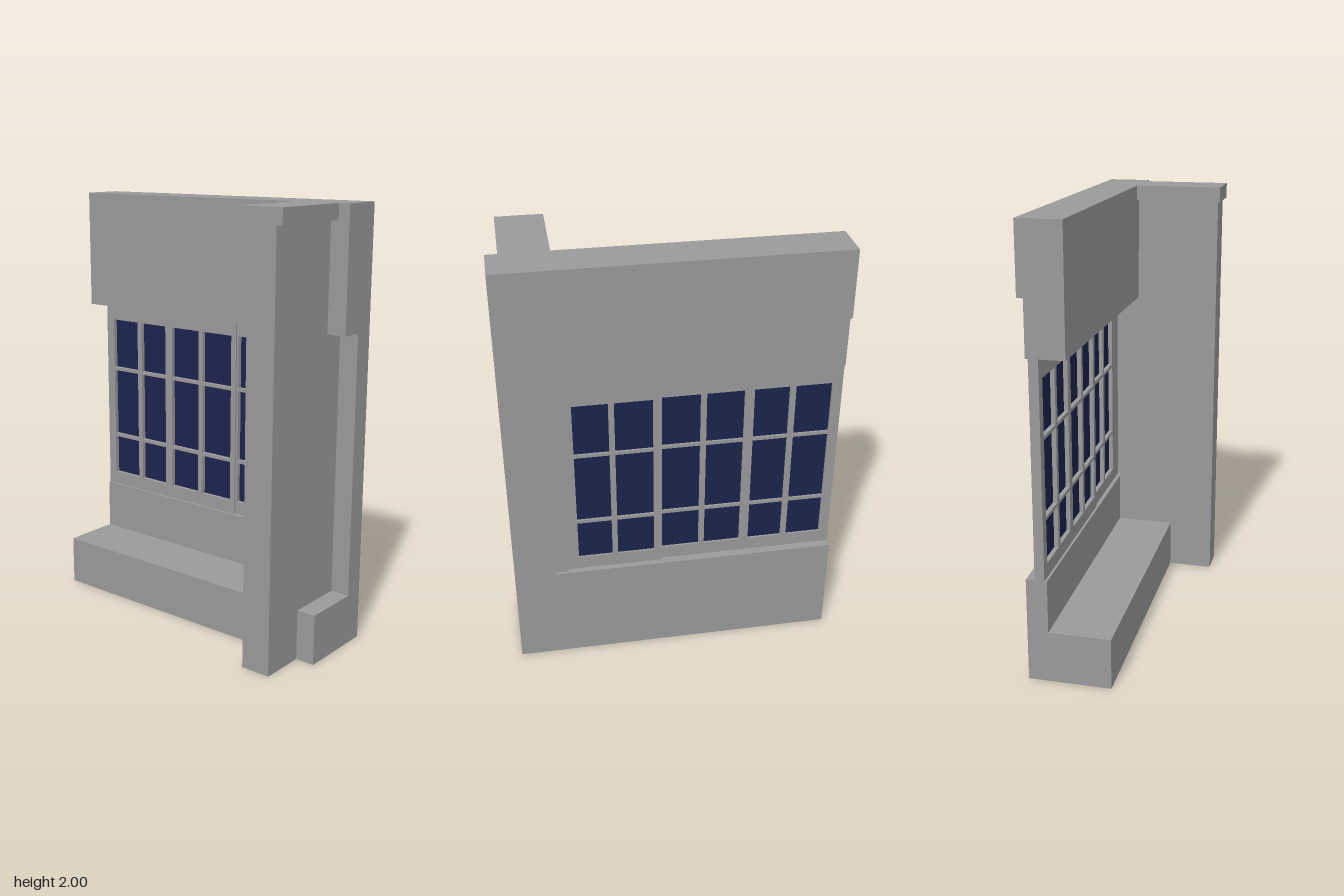
import * as THREE from 'three';

const wallMat = new THREE.MeshStandardMaterial({ color: 0x9a9a9a });
const openMat = new THREE.MeshStandardMaterial({ color: 0x9a9a9a, side: THREE.DoubleSide });
const glassMat = new THREE.MeshStandardMaterial({ color: 0x1b244e });

// Box given by its min and max on each axis
function block(name, [x0, x1], [y0, y1], [z0, z1], mat = wallMat) {
  const mesh = new THREE.Mesh(new THREE.BoxGeometry(x1 - x0, y1 - y0, z1 - z0), mat);
  mesh.position.set((x0 + x1) / 2, (y0 + y1) / 2, (z0 + z1) / 2);
  mesh.name = name;
  return mesh;
}

// Box without its top and bottom
function openBlock(name, x, y, z) {
  const mesh = block(name, x, y, z, openMat);
  const sides = [...mesh.geometry.index.array].filter((_, i) => i < 12 || i >= 24);
  mesh.geometry.setIndex(sides);
  mesh.geometry.clearGroups();
  return mesh;
}

function rectangle(target, [x0, x1], [y0, y1]) {
  target.moveTo(x0, y0);
  target.lineTo(x1, y0);
  target.lineTo(x1, y1);
  target.lineTo(x0, y1);
  target.closePath();
  return target;
}

const sill = 0.477, lintel = 1.447, openingTop = 1.69;
const rows = [[0.541, 0.737], [0.753, 1.093], [1.109, 1.358]];

// Sash frame pierced by a grid of openings, with a pane in each
function windowSash(name, xRange, columns, [z0, z1]) {
  const sash = new THREE.Group();
  sash.name = name;
  const shape = rectangle(new THREE.Shape(), xRange, [sill, lintel]);
  for (const x of columns) {
    for (const y of rows) {
      shape.holes.push(rectangle(new THREE.Path(), x, y));
      sash.add(block('windowPane', x, y, [z0 + 0.01, z1 - 0.02], glassMat));
    }
  }
  const frame = new THREE.Mesh(
    new THREE.ExtrudeGeometry(shape, { depth: z1 - z0, bevelEnabled: false }), wallMat);
  frame.position.z = z0;
  frame.name = 'sashFrame';
  sash.add(frame);
  return sash;
}

export function createModel() {
  const model = new THREE.Group();
  model.name = 'wallSection';
  const width = [-0.75, 0.75];

  // Wall around the window opening, which runs out at the right-hand end
  model.add(
    block('baseLedge', width, [0, 0.235], [-0.3, 0.072]),
    block('lowerWall', width, [0.235, sill], [-0.3, -0.206]),
    block('sideWall', [0.56, 0.75], [sill, openingTop], [-0.3, -0.206]),
    block('upperWall', width, [openingTop, 2], [-0.3, -0.104]),
    block('frontLintel', width, [lintel, openingTop], [-0.22, -0.104]),
  );

  // Shallow stop beside the sashes and the panel above them
  model.add(
    block('sideStop', [0.5, 0.56], [sill, openingTop], [-0.286, -0.225]),
    block('headPanel', [-0.75, 0.5], [lintel, openingTop], [-0.272, -0.22]),
  );

  // Projecting hollow pillar and its cap
  model.add(
    openBlock('pillar', [0.52, 0.66], [0, 1.93], [-0.206, 0.287]),
    block('pillarCap', [0.485, 0.697], [1.93, 2], [-0.104, 0.3]),
  );

  // Two sliding sashes that overlap at the middle
  model.add(
    windowSash('wideSash', [-0.75, 0.085],
      [[-0.704, -0.541], [-0.514, -0.355], [-0.312, -0.143], [-0.117, 0.057]], [-0.26, -0.217]),
    windowSash('narrowSash', [0.058, 0.5],
      [[0.095, 0.265], [0.29, 0.448]], [-0.272, -0.225]),
  );
  return model;
}
